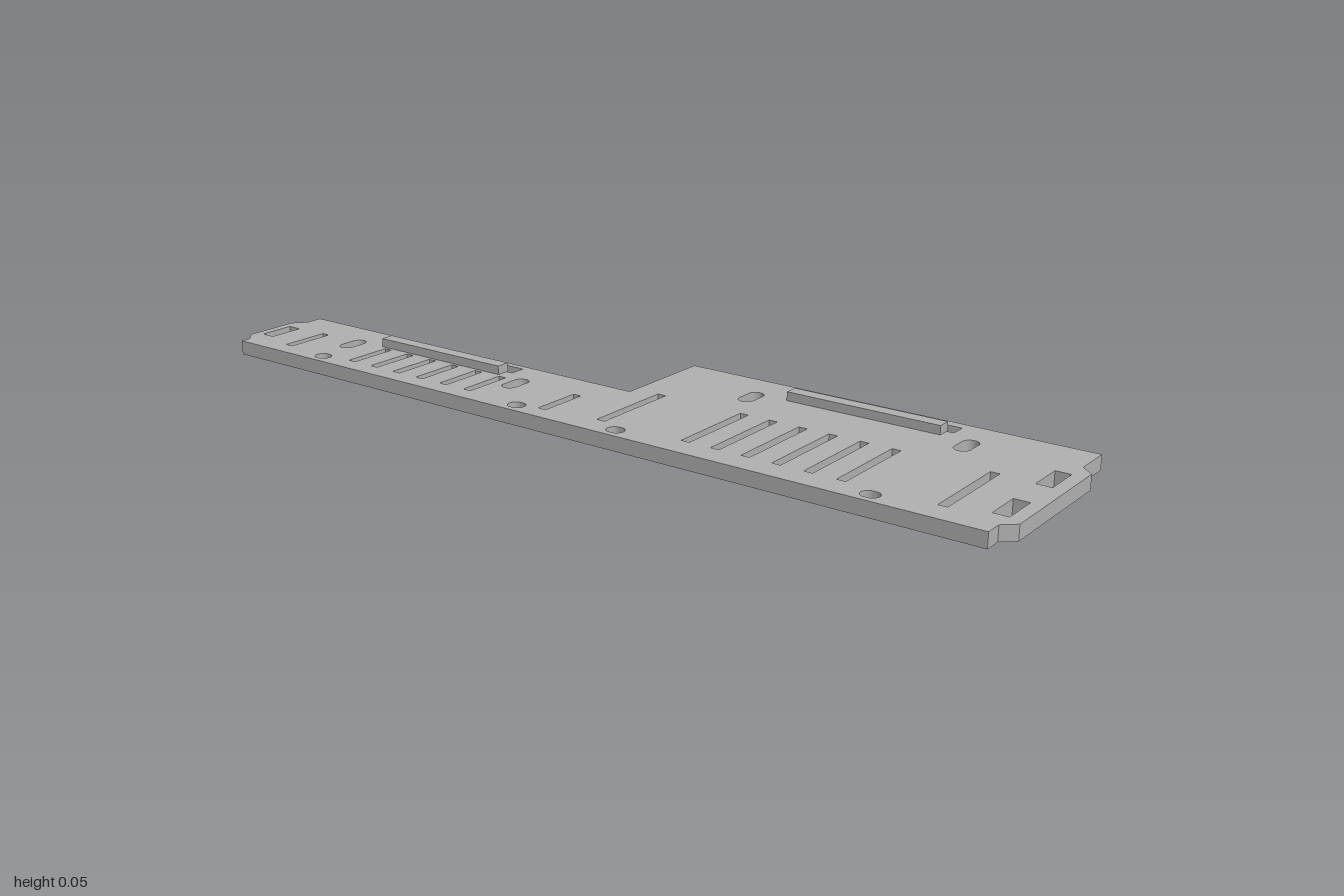
import * as THREE from 'three';

const THICK = 0.033;

// Outlines are drawn as (x, -z) so that the extrusion can be laid flat
function rectHole(x0, x1, z0, z1) {
  return new THREE.Path([[x0, z0], [x0, z1], [x1, z1], [x1, z0]].map(([x, z]) => new THREE.Vector2(x, -z)));
}

// Rounded slot, w along x and h along z, long in whichever is larger
function roundHole(x, z, w, h) {
  const r = Math.min(w, h) / 2, dx = w / 2 - r, dz = h / 2 - r;
  const points = [];
  for (let i = 0; i < 24; i++) {
    const a = ((i + 0.5) / 24) * Math.PI * 2, c = Math.cos(a), s = Math.sin(a);
    points.push(new THREE.Vector2(x + Math.sign(c) * dx + c * r, -z + Math.sign(s) * dz + s * r));
  }
  return new THREE.Path(points);
}

export function createModel() {
  const model = new THREE.Group();
  const grey = new THREE.MeshStandardMaterial({ color: 0xb0b0b0 });
  grey.name = 'grey';

  // Stepped plate with a chamfered tab at each end
  const outline = [
    [-0.246, 0.972], [-0.206, 0.972], [-0.181, 1], [0.131, 1], [0.156, 0.972], [0.246, 0.972],
    [0.246, 0], [0.004, 0], [0.004, -0.974], [-0.036, -0.974], [-0.066, -1],
    [-0.195, -1], [-0.222, -0.974], [-0.246, -0.974],
  ];
  const shape = new THREE.Shape(outline.map(([x, z]) => new THREE.Vector2(x, -z)));
  const holes = shape.holes;

  // Cooling slots of the narrow and the wide half
  for (const z of [-0.857, -0.645, -0.574, -0.503, -0.432, -0.36, -0.289, -0.075])
    holes.push(rectHole(-0.202, -0.085, z - 0.01, z + 0.01));
  for (const z of [0.069, 0.283, 0.354, 0.426, 0.497, 0.569, 0.641, 0.852])
    holes.push(rectHole(-0.185, 0.027, z - 0.01, z + 0.01));

  // Rectangular holes at the ends
  holes.push(rectHole(-0.175, -0.09, -0.979, -0.945));
  for (const x of [-0.161, 0.02]) holes.push(rectHole(x, x + 0.086, 0.937, 0.971));

  // Mounting holes along the straight edge, and oblong holes
  for (const z of [-0.727, -0.135, 0.13, 0.72]) holes.push(roundHole(-0.214, z, 0.035, 0.041));
  for (const [x, z] of [[-0.103, -0.744], [-0.103, -0.235], [0.132, 0.23], [0.132, 0.739]])
    holes.push(roundHole(x, z, 0.072, 0.036));

  // Raised bars, each with two openings beside it
  for (const [x, z] of [[-0.061, -0.49], [0.173, 0.486]]) {
    for (const side of [-1, 1]) {
      const c = z + side * 0.13;
      holes.push(rectHole(x + 0.0125, x + 0.049, c - 0.068, c + 0.068));
    }
    const bar = new THREE.Mesh(new THREE.BoxGeometry(0.032, 0.021, 0.364), grey);
    bar.position.set(x, THICK + 0.0095, z);
    bar.name = x < 0 ? 'narrowHalfBar' : 'wideHalfBar';
    model.add(bar);
  }

  const geometry = new THREE.ExtrudeGeometry(shape, { depth: THICK, bevelEnabled: false });
  geometry.rotateX(-Math.PI / 2);
  const plate = new THREE.Mesh(geometry, grey);
  plate.name = 'plate';
  model.add(plate);
  return model;
}
